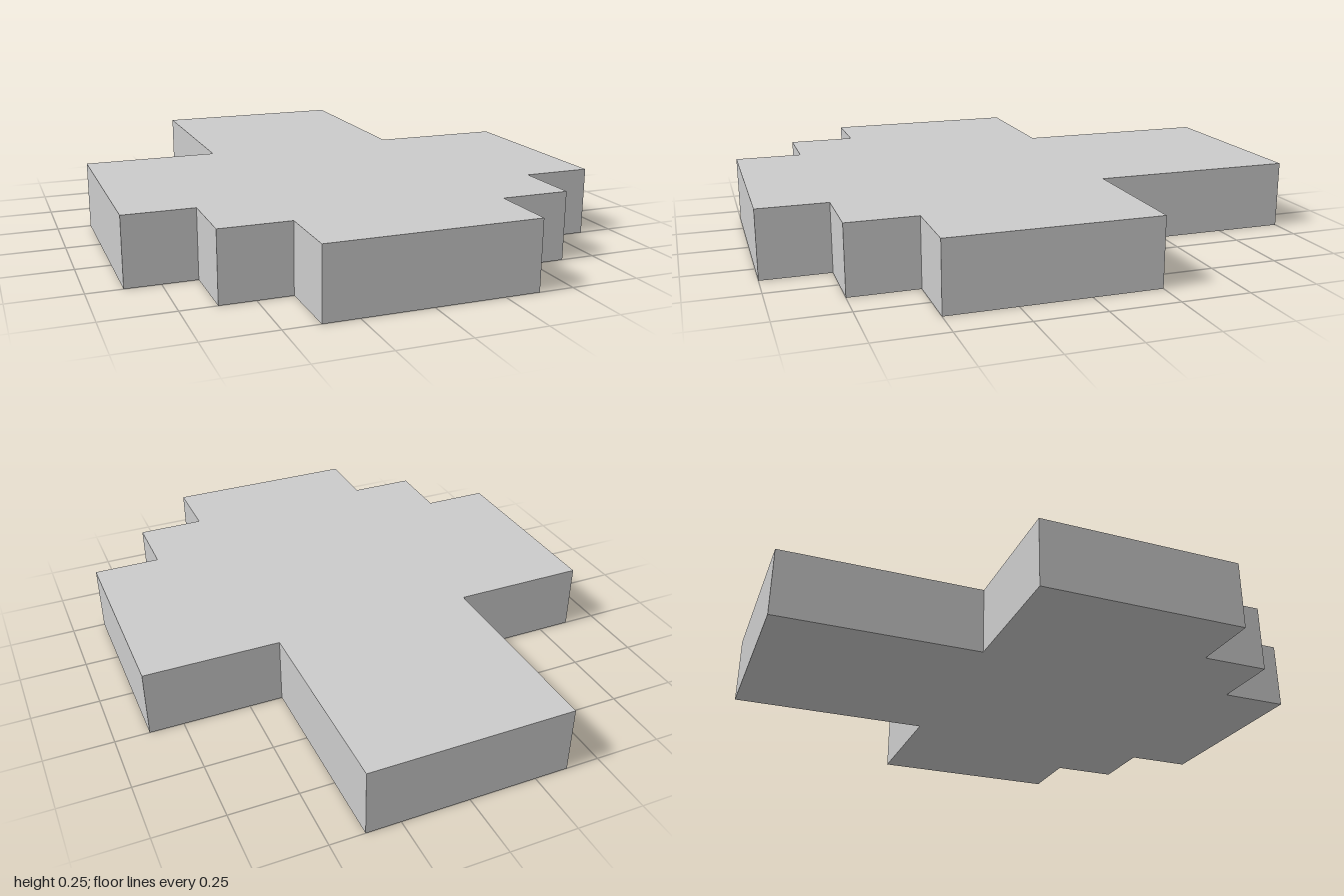
import * as THREE from 'three';

const HEIGHT = 0.25;

// Half of the stepped plan outline as [x, z], from front to back
const HALF_OUTLINE = [
  [0.375, 1], [0.375, 0.75],
  [0.625, 0.75], [0.625, 0.5],
  [0.875, 0.5], [0.875, -0.25],
  [0.375, -0.25], [0.375, -1],
];

export function createModel() {
  const group = new THREE.Group();
  group.name = 'steppedPlate';

  // Mirror the half outline across x = 0 to close the plan
  const mirrored = HALF_OUTLINE.map(([x, z]) => [-x, z]).reverse();
  const points = [...HALF_OUTLINE, ...mirrored].map(([x, z]) => new THREE.Vector2(x, -z));

  // Extrude upwards and lay the plan flat on the ground
  const geometry = new THREE.ExtrudeGeometry(new THREE.Shape(points), {
    depth: HEIGHT,
    bevelEnabled: false,
  });
  geometry.rotateX(-Math.PI / 2);

  const plate = new THREE.Mesh(
    geometry,
    new THREE.MeshStandardMaterial({ color: 0xcccccc, flatShading: true }),
  );
  plate.name = 'plate';
  group.add(plate);
  return group;
}
